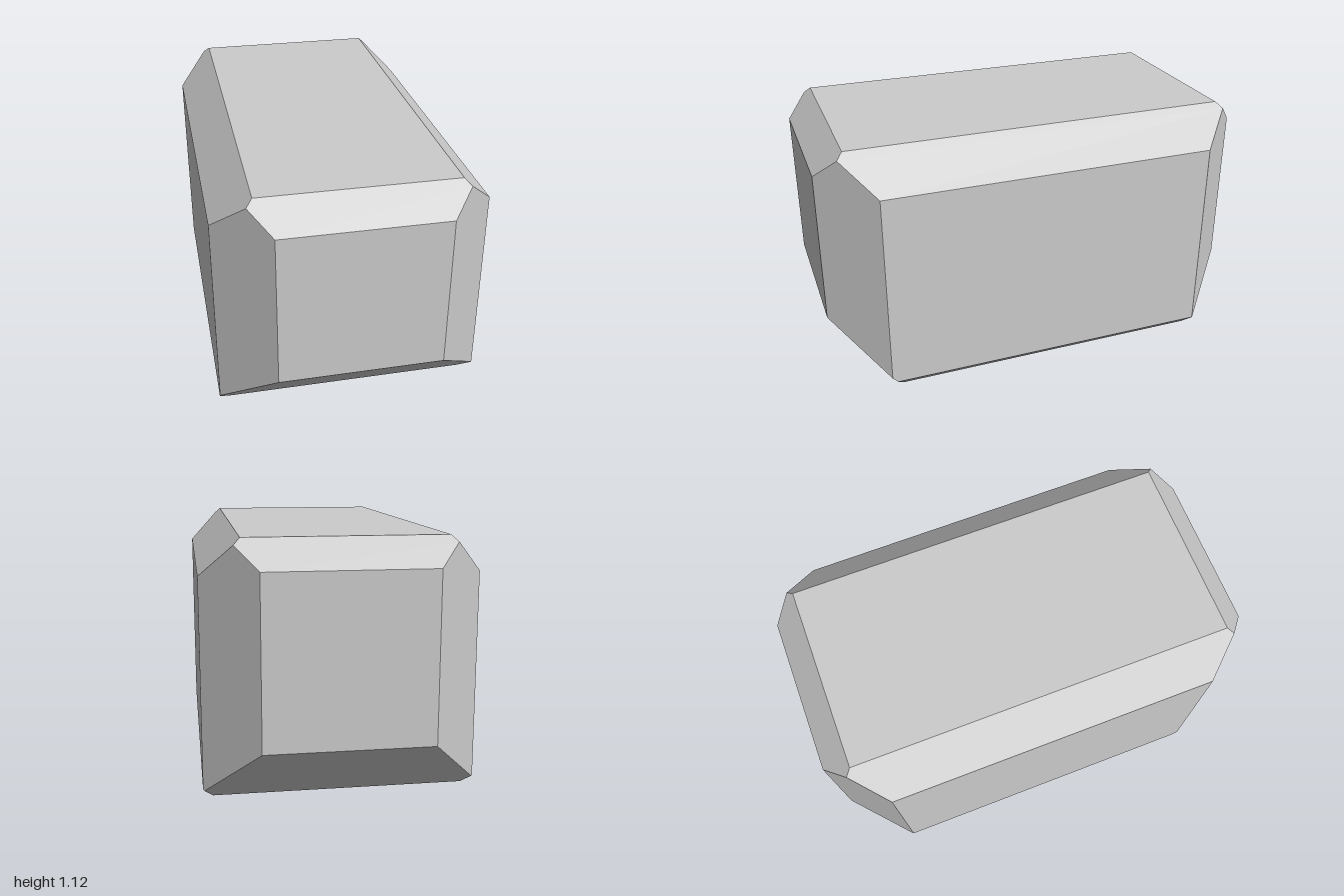
import * as THREE from 'three';

// Half extents of the block and its height
const W = 0.593, H = 1.12, D = 1;

// Bounding planes [nx, ny, nz, offset]: the box sides, then the 45 degree bevels
function bevelledBoxPlanes() {
  const planes = [[0, 1, 0, H], [0, -1, 0, 0]];
  for (const s of [1, -1]) {
    planes.push([s, 0, 0, W], [0, 0, s, D]);
    planes.push([s, 1, 0, 1.547]);                    // top side bevel
    planes.push([s, -1, 0, 0.55]);                    // bottom side bevel
    planes.push([0, 1, s, 1.998]);                    // top end bevel
    planes.push([0, -1, s, s > 0 ? 0.7 : 0.735]);     // bottom end bevel, front is deeper
    for (const t of [1, -1]) planes.push([s, 0, t, 1.36]); // upright corner bevel
  }
  return planes.map(([x, y, z, d]) => {
    const n = new THREE.Vector3(x, y, z);
    const len = n.length();
    return { n: n.divideScalar(len), d: d / len };
  });
}

// Solid enclosed by a set of planes, one flat polygon per plane
function solidFromPlanes(planes) {
  const corners = [];
  for (let i = 0; i < planes.length; i++)
    for (let j = i + 1; j < planes.length; j++)
      for (let k = j + 1; k < planes.length; k++) {
        const [a, b, c] = [planes[i], planes[j], planes[k]];
        const bc = b.n.clone().cross(c.n);
        const det = a.n.dot(bc);
        if (Math.abs(det) < 1e-6) continue;
        const p = bc.multiplyScalar(a.d)
          .addScaledVector(c.n.clone().cross(a.n), b.d)
          .addScaledVector(a.n.clone().cross(b.n), c.d)
          .divideScalar(det);
        const inside = planes.every(q => q.n.dot(p) <= q.d + 1e-6);
        if (inside && !corners.some(q => q.distanceTo(p) < 1e-5)) corners.push(p);
      }

  const position = [], normal = [];
  for (const { n, d } of planes) {
    const face = corners.filter(p => Math.abs(n.dot(p) - d) < 1e-5);
    if (face.length < 3) continue;
    // Order the corners anticlockwise about the outward normal
    const mid = face.reduce((m, p) => m.add(p), new THREE.Vector3()).divideScalar(face.length);
    const u = face[0].clone().sub(mid).normalize();
    const v = n.clone().cross(u);
    const angle = p => Math.atan2(p.clone().sub(mid).dot(v), p.clone().sub(mid).dot(u));
    face.sort((p, q) => angle(p) - angle(q));
    for (let i = 1; i < face.length - 1; i++)
      for (const p of [face[0], face[i], face[i + 1]]) {
        position.push(p.x, p.y, p.z);
        normal.push(n.x, n.y, n.z);
      }
  }
  const geometry = new THREE.BufferGeometry();
  geometry.setAttribute('position', new THREE.Float32BufferAttribute(position, 3));
  geometry.setAttribute('normal', new THREE.Float32BufferAttribute(normal, 3));
  return geometry;
}

export function createModel() {
  const group = new THREE.Group();
  group.name = 'bevelledBlock';
  const material = new THREE.MeshStandardMaterial({ color: 0xcccccc, flatShading: true });
  const block = new THREE.Mesh(solidFromPlanes(bevelledBoxPlanes()), material);
  block.name = 'block';
  group.add(block);
  return group;
}
